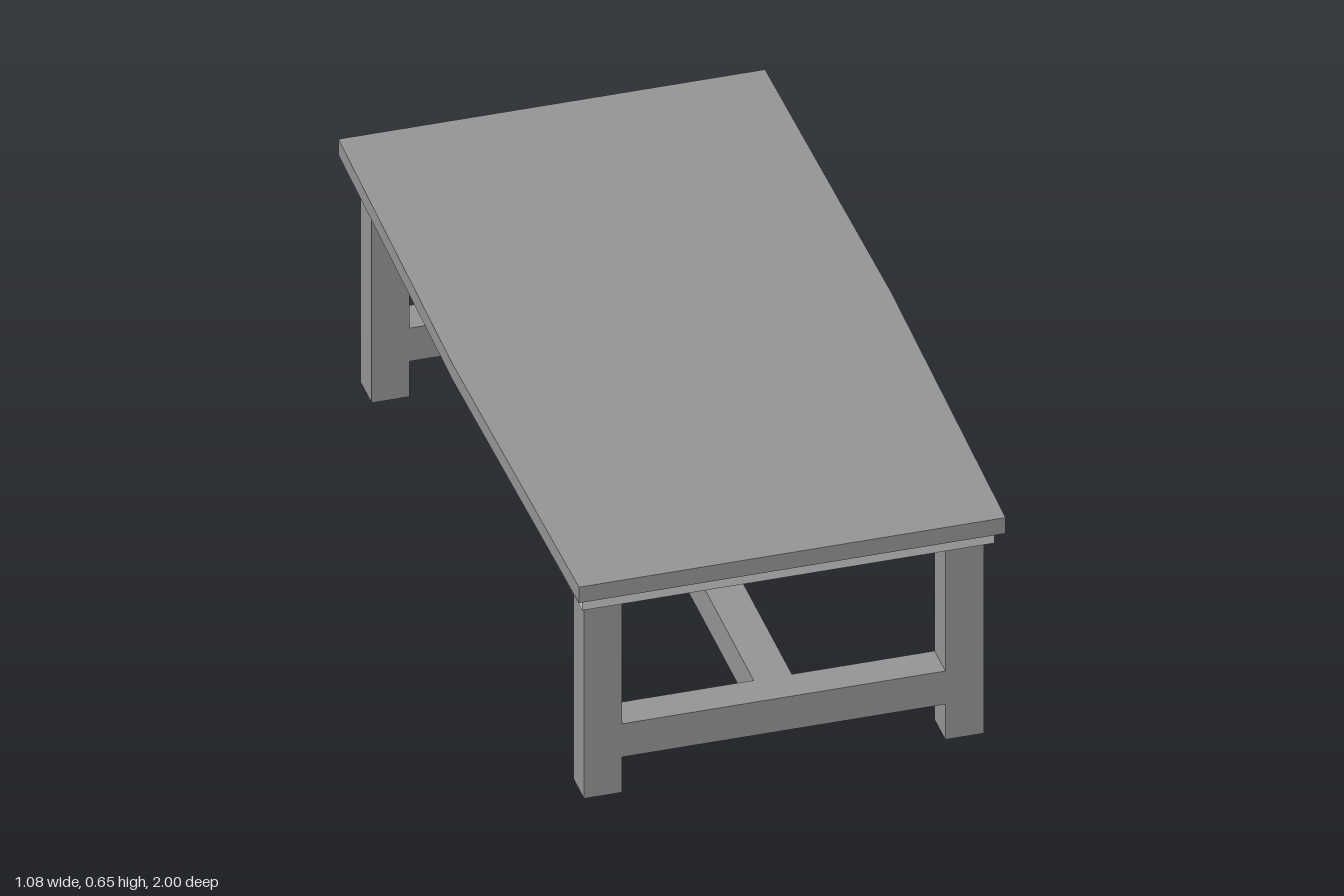
import * as THREE from 'three';

const wood = new THREE.MeshStandardMaterial({ color: 0x979797, flatShading: true });
const apronMaterial = new THREE.MeshStandardMaterial({ color: 0xcccccc, flatShading: true, side: THREE.DoubleSide });

// Outline whose long sides swell to a slight point at the middle
const outline = (end, middle, length) => [
  [-end, -length], [end, -length], [middle, 0], [end, length], [-end, length], [-middle, 0],
].map(([x, z]) => new THREE.Vector2(x, z));

// Box spanning [min, max] on each axis
function addBox(group, name, [x0, x1], [y0, y1], [z0, z1]) {
  const mesh = new THREE.Mesh(new THREE.BoxGeometry(x1 - x0, y1 - y0, z1 - z0), wood);
  mesh.name = name;
  mesh.position.set((x0 + x1) / 2, (y0 + y1) / 2, (z0 + z1) / 2);
  group.add(mesh);
}

// Thin open band standing on an outline
function bandGeometry(points, bottom, top) {
  const positions = [];
  points.forEach((a, i) => {
    const b = points[(i + 1) % points.length];
    positions.push(
      a.x, bottom, a.y, a.x, top, a.y, b.x, top, b.y,
      a.x, bottom, a.y, b.x, top, b.y, b.x, bottom, b.y,
    );
  });
  const geometry = new THREE.BufferGeometry();
  geometry.setAttribute('position', new THREE.Float32BufferAttribute(positions, 3));
  geometry.computeVertexNormals();
  return geometry;
}

export function createModel() {
  const table = new THREE.Group();
  table.name = 'table';

  // Table top
  const topGeometry = new THREE.ExtrudeGeometry(new THREE.Shape(outline(0.525, 0.54, 1)), {
    depth: 0.045, bevelEnabled: false,
  });
  topGeometry.rotateX(-Math.PI / 2).translate(0, 0.605, 0);
  const top = new THREE.Mesh(topGeometry, wood);
  top.name = 'tableTop';
  table.add(top);

  // Lighter apron: a thin band closed by a panel under the top
  const apron = new THREE.Group();
  apron.name = 'apron';
  const apronOutline = outline(0.507, 0.517, 0.967);
  const panelGeometry = new THREE.ShapeGeometry(new THREE.Shape(apronOutline));
  panelGeometry.rotateX(Math.PI / 2).translate(0, 0.603, 0);
  const band = new THREE.Mesh(bandGeometry(apronOutline, 0.56, 0.605), apronMaterial);
  band.name = 'apronBand';
  const panel = new THREE.Mesh(panelGeometry, apronMaterial);
  panel.name = 'apronPanel';
  apron.add(band, panel);
  table.add(apron);

  // Legs and the cross stretcher at each end
  const legHeight = [0, 0.602], stretcherHeight = [0.1, 0.194];
  const ends = { front: [0.838, 0.928], back: [-0.932, -0.838] };
  const sides = { Left: [0.398, 0.493], Right: [-0.491, -0.398] };
  for (const [end, z] of Object.entries(ends)) {
    for (const [side, x] of Object.entries(sides)) {
      addBox(table, `${end}${side}Leg`, x, legHeight, z);
    }
    addBox(table, `${end}Stretcher`, [-0.398, 0.398], stretcherHeight, z);
  }

  // Long stretcher joining both ends
  addBox(table, 'longStretcher', [-0.047, 0.047], stretcherHeight, [-0.838, 0.838]);

  return table;
}
